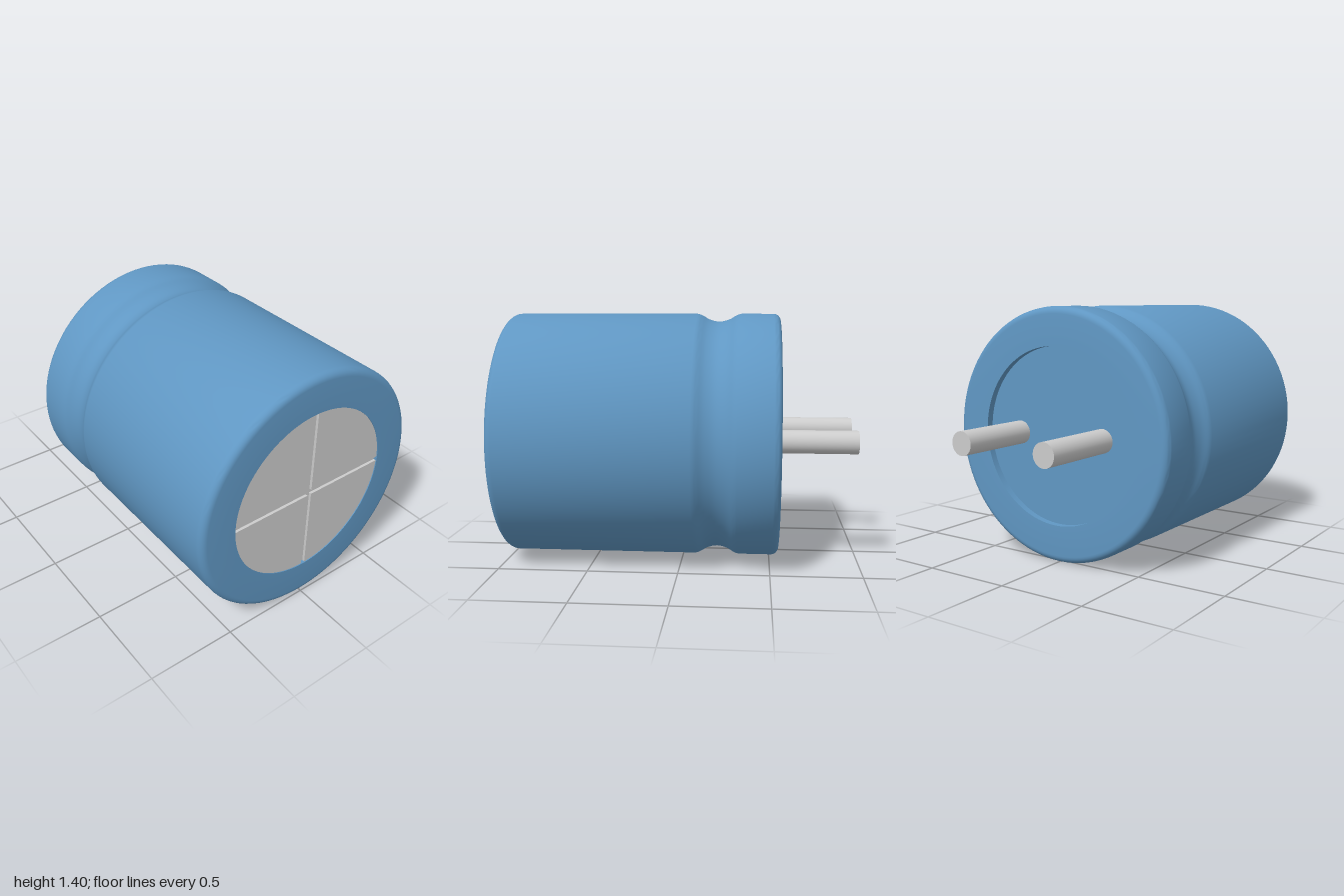
import * as THREE from 'three';
import { toCreasedNormals } from 'three/addons/utils/BufferGeometryUtils.js';

const R = 0.7;          // can radius, also the height of its axis
const FRONT = 1, BACK = -0.55;
const DISC = 0.49;      // radius of the front disc and of the rear recess
const FILLET = 0.04;

const sleeveMat = new THREE.MeshStandardMaterial({ color: 0x6097c3 });
const metalMat = new THREE.MeshStandardMaterial({ color: 0xcccccc });

function addMesh(parent, name, geometry, material, x = 0, y = 0, z = 0) {
  const mesh = new THREE.Mesh(geometry, material);
  mesh.name = name;
  mesh.position.set(x, y, z);
  parent.add(mesh);
  return mesh;
}

// Rounded rim of the can: quarter circle from angle a0
function fillet(z, a0) {
  return Array.from({ length: 7 }, (_, i) => {
    const a = a0 + (i / 6) * Math.PI / 2;
    return new THREE.Vector2(R - FILLET + FILLET * Math.cos(a), z + FILLET * Math.sin(a));
  });
}

// Sleeved can, turned from one profile of (radius, z)
function sleeveGeometry() {
  const v = (r, z) => new THREE.Vector2(r, z);
  const groove = new THREE.SplineCurve([
    v(R, -0.325), v(0.692, -0.3), v(0.667, -0.255), v(0.655, -0.2),
    v(0.667, -0.145), v(0.692, -0.1), v(R, -0.075),
  ]).getPoints(24);
  const profile = [
    v(0, BACK + 0.04), v(DISC, BACK + 0.04), v(DISC, BACK),
    ...fillet(BACK + FILLET, -Math.PI / 2),
    ...groove,
    ...fillet(FRONT - FILLET, 0),
    v(DISC, FRONT), v(DISC, FRONT - 0.03), v(0, FRONT - 0.03),
  ];
  const geometry = new THREE.LatheGeometry(profile, 96);
  geometry.rotateX(Math.PI / 2);
  return toCreasedNormals(geometry, Math.PI / 5);
}

// Quarter of the vent disc, set back from the cross by half a score line
function quadrantGeometry() {
  const g = 0.0125, a = Math.asin(g / DISC);
  const shape = new THREE.Shape();
  shape.moveTo(g, g);
  shape.lineTo(DISC * Math.cos(a), g);
  shape.absarc(0, 0, DISC, a, Math.PI / 2 - a, false);
  shape.closePath();
  return new THREE.ExtrudeGeometry(shape, { depth: 0.015, bevelEnabled: false, curveSegments: 24 });
}

export function createModel() {
  const model = new THREE.Group();
  model.name = 'capacitor';

  addMesh(model, 'sleeve', sleeveGeometry(), sleeveMat, 0, R, 0);

  // Front vent: base disc with four raised quarters
  const vent = new THREE.Group();
  vent.name = 'ventDisc';
  vent.position.set(0, R, 0);
  model.add(vent);
  addMesh(vent, 'ventBase', new THREE.CircleGeometry(DISC, 96), metalMat, 0, 0, FRONT - 0.02);
  const quadrant = quadrantGeometry();
  for (let i = 0; i < 4; i++) {
    addMesh(vent, 'ventQuarter' + (i + 1), quadrant, metalMat, 0, 0, FRONT - 0.02)
      .rotation.z = i * Math.PI / 2;
  }

  // Rear terminal pins, one slightly longer
  for (const [name, x, tip] of [['rightPin', -0.28, -1], ['leftPin', 0.275, -0.98]]) {
    const root = BACK + 0.05;
    const pin = new THREE.CylinderGeometry(0.065, 0.065, root - tip, 32);
    pin.rotateX(Math.PI / 2);
    addMesh(model, name, pin, metalMat, x, R, (root + tip) / 2);
  }
  return model;
}
